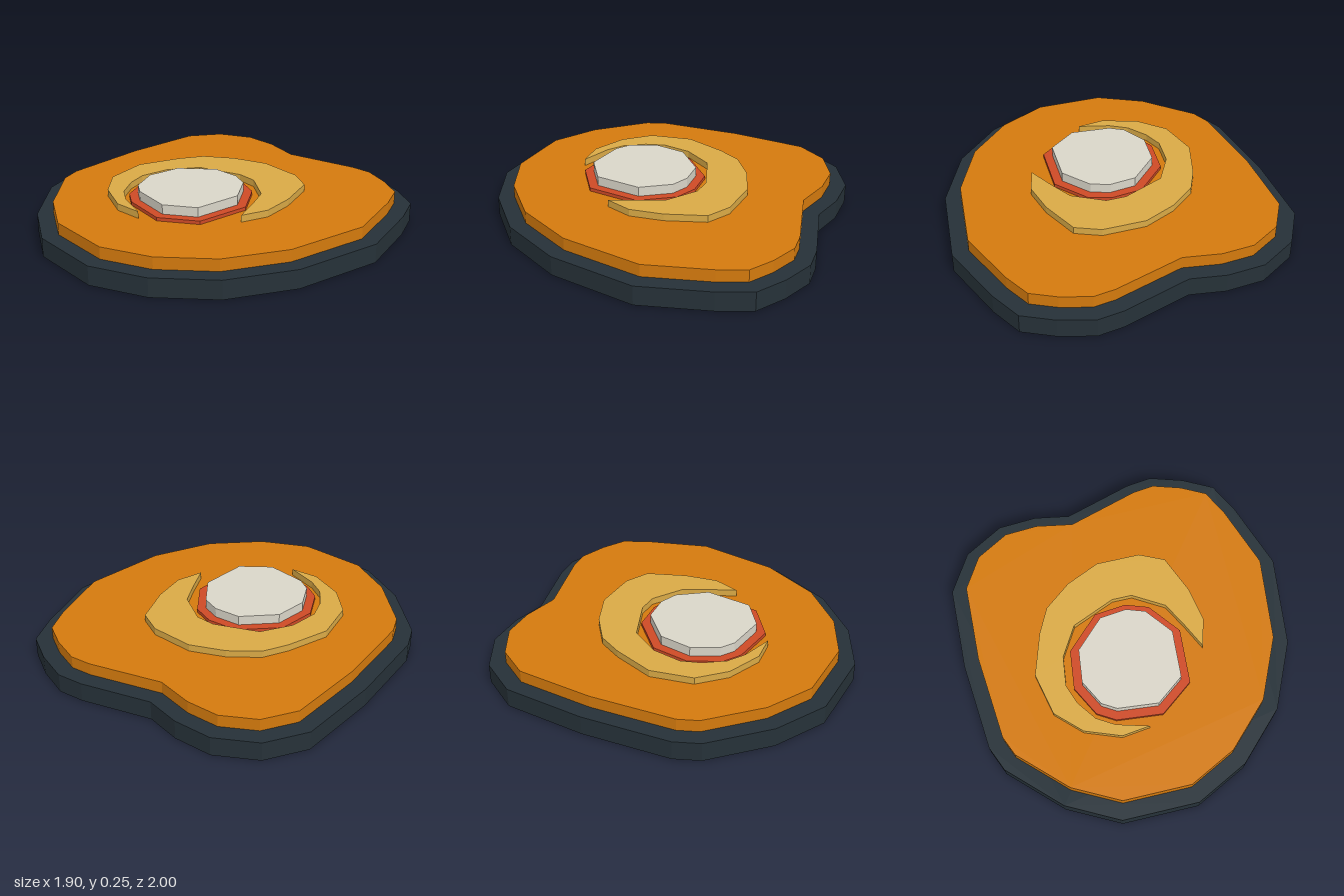
import * as THREE from 'three';

const mat = (name, color) => new THREE.MeshStandardMaterial({ name, color, side: THREE.DoubleSide, flatShading: true });

// Outlines as [x, z] corners, clockwise seen from above
const baseOutline = [
  [0.37, -1], [0.56, -0.94], [0.73, -0.85], [0.82, -0.67], [0.95, -0.29], [0.89, 0.22], [0.72, 0.59],
  [0.46, 0.85], [0.16, 1], [-0.27, 1], [-0.56, 0.85], [-0.84, 0.58], [-0.9, 0.44], [-0.95, -0.06],
  [-0.94, -0.53], [-0.81, -0.75], [-0.59, -0.88], [-0.37, -0.895], [-0.17, -0.86], [0.22, -0.98],
];
const crescentOutline = [
  [-0.01, 0.55], [-0.17, 0.57], [-0.37, 0.495], [-0.51, 0.36], [-0.565, 0.12], [-0.49, -0.12],
  [-0.42, -0.26], [-0.27, -0.38], [-0.08, -0.465], [0.17, -0.465], [0.31, -0.4], [0.4, -0.18],
  [0.435, 0.01], [0.39, 0.165], [0.32, 0.02], [0.245, -0.12], [0.07, -0.225], [-0.045, -0.225],
  [-0.29, -0.12], [-0.39, 0.05], [-0.41, 0.22], [-0.37, 0.33], [-0.29, 0.44], [-0.19, 0.5],
];
const discOutline = [
  [0.02, -0.185], [0.15, -0.14], [0.29, 0.04], [0.27, 0.35], [0.08, 0.495],
  [-0.18, 0.47], [-0.28, 0.41], [-0.37, 0.24], [-0.345, 0.02], [-0.16, -0.165],
];

// Moves every edge of a clockwise outline inward by d, with mitred corners
function inset(points, d) {
  const n = points.length;
  const normal = (a, b) => {
    const dx = b[0] - a[0], dz = b[1] - a[1], len = Math.hypot(dx, dz);
    return [-dz / len, dx / len];
  };
  return points.map((p, i) => {
    const a = normal(points[(i + n - 1) % n], p);
    const b = normal(p, points[(i + 1) % n]);
    const k = d / (1 + a[0] * b[0] + a[1] * b[1]);
    return [p[0] + (a[0] + b[0]) * k, p[1] + (a[1] + b[1]) * k];
  });
}

// Flat slab with side walls and a top, open underneath
function slab(name, outline, bottom, top, material) {
  const shape = new THREE.Shape(outline.map(([x, z]) => new THREE.Vector2(x, -z)));
  const geometry = new THREE.ExtrudeGeometry(shape, { depth: top - bottom, bevelEnabled: false });
  // the lower cap comes first in the buffers, so cut it off
  const skip = (outline.length - 2) * 3;
  for (const key of ['position', 'normal', 'uv']) {
    const { array, itemSize } = geometry.attributes[key];
    geometry.setAttribute(key, new THREE.BufferAttribute(array.slice(skip * itemSize), itemSize));
  }
  geometry.clearGroups();
  geometry.rotateX(-Math.PI / 2).translate(0, bottom, 0);
  const mesh = new THREE.Mesh(geometry, material);
  mesh.name = name;
  return mesh;
}

export function createModel() {
  const model = new THREE.Group();
  model.name = 'layeredBadge';
  model.add(
    slab('base', baseOutline, 0, 0.11, mat('darkSlate', 0x263138)),
    slab('body', inset(baseOutline, 0.091), 0.06, 0.18, mat('orange', 0xd47a0d)),
    slab('crescent', crescentOutline, 0.15, 0.22, mat('tan', 0xdaaa46)),
    slab('disc', discOutline, 0.15, 0.2, mat('red', 0xce4a26)),
    slab('discCap', inset(discOutline, 0.049), 0.16, 0.255, mat('paleGrey', 0xdad6c9)),
  );
  return model;
}
